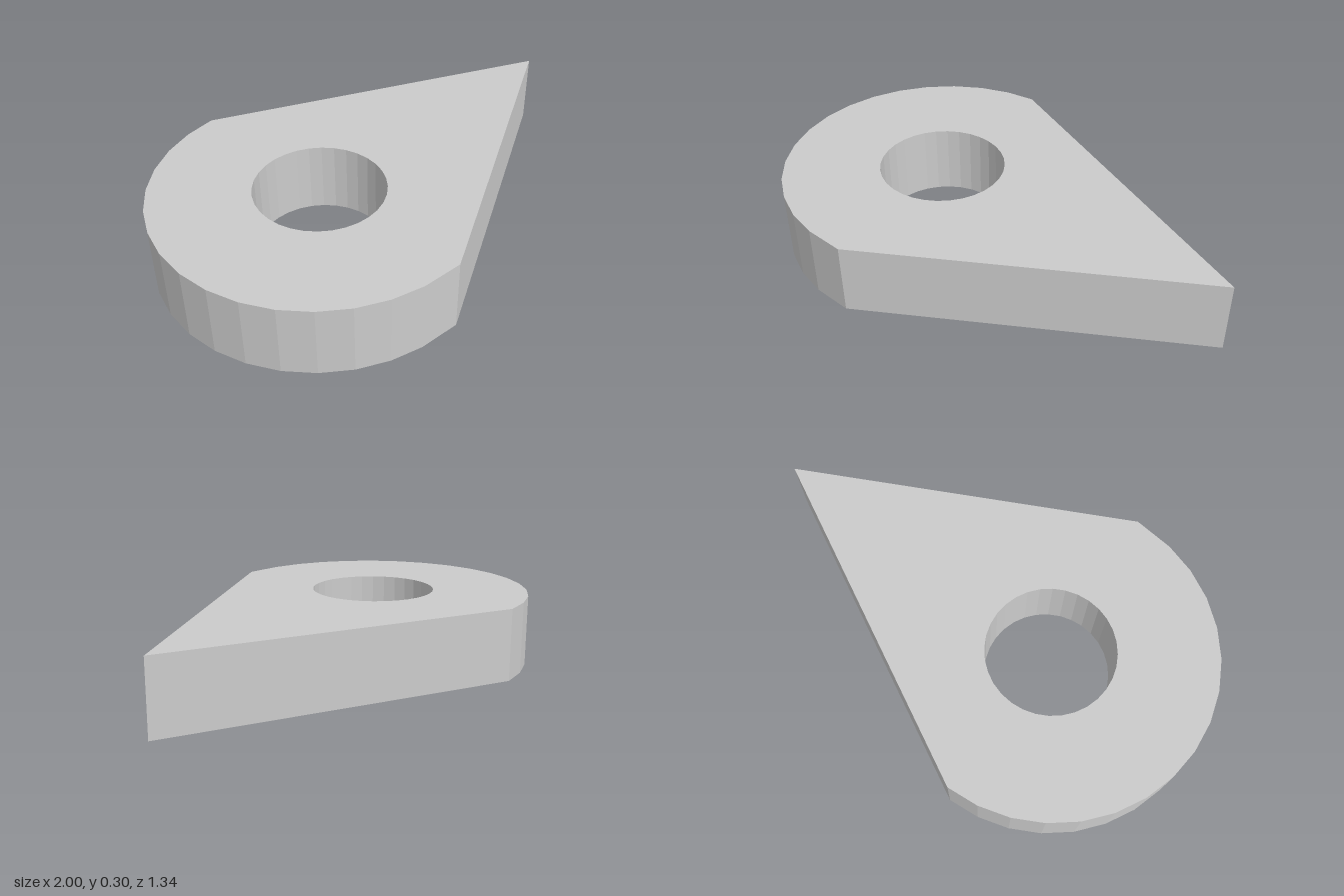
import * as THREE from 'three';

export function createModel() {
  const group = new THREE.Group();
  const height = 0.3, cx = -0.333, cz = -0.003, radius = 0.667, holeRadius = 0.262;

  // Teardrop outline, drawn in (x, -z): faceted half circle running to a point
  const outline = [new THREE.Vector2(1, -0.007)];
  for (let i = 0; i < 16; i++) {
    const a = Math.PI / 2 + (i * Math.PI) / 16;
    outline.push(new THREE.Vector2(cx + radius * Math.cos(a), -cz + radius * Math.sin(a)));
  }
  outline.push(new THREE.Vector2(-0.297, -0.668));
  const shape = new THREE.Shape(outline);

  // Round through hole
  const hole = [];
  for (let i = 0; i < 32; i++) {
    const a = (-i * Math.PI) / 16;
    hole.push(new THREE.Vector2(cx + holeRadius * Math.cos(a), -cz + holeRadius * Math.sin(a)));
  }
  shape.holes.push(new THREE.Path(hole));

  // Flat plate, laid down so its thickness runs along y
  const geometry = new THREE.ExtrudeGeometry(shape, { depth: height, bevelEnabled: false });
  geometry.rotateX(-Math.PI / 2);
  const material = new THREE.MeshStandardMaterial({ color: 0xcccccc, flatShading: true });
  const plate = new THREE.Mesh(geometry, material);
  plate.name = 'teardropPlate';
  group.add(plate);
  return group;
}
